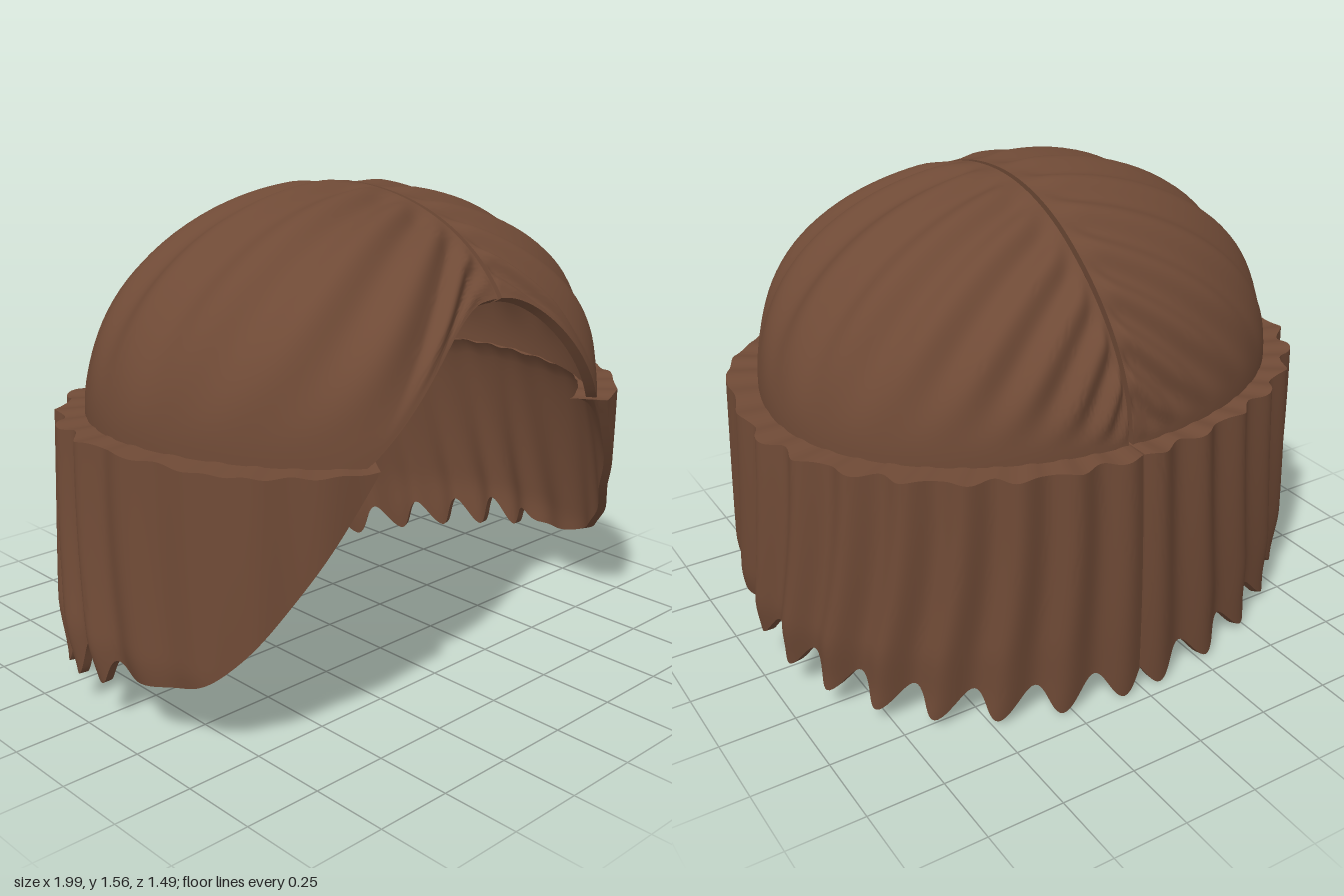
import * as THREE from 'three';
import { toCreasedNormals } from 'three/addons/utils/BufferGeometryUtils.js';

const { lerp, smoothstep } = THREE.MathUtils;
const RIM = 0.88;                       // height where the cap meets the hanging hair
const CZ = 0.03;                        // z of the cap centre
const A = 0.87, B = 0.67, C = 0.69;     // cap half-width, height, half-depth

// soft rounded lobe pattern for the locks
const lobe = (q) => -0.45 * Math.cos(2 * Math.PI * q);

// Closed shell: fn(u, v, inner) gives a point; each section runs out, round the edge and back.
function shell(nu, nv, flip, fn) {
  const pos = [], idx = [], ring = 2 * (nv + 1);
  for (let i = 0; i <= nu; i++) {
    for (let k = 0; k < ring; k++) {
      const inner = k > nv;
      const v = (inner ? ring - 1 - k : k) / nv;
      pos.push(...fn(i / nu, v, inner));
    }
  }
  for (let i = 0; i < nu; i++) {
    for (let k = 0; k < ring; k++) {
      const k2 = (k + 1) % ring;
      const a = i * ring + k, b = a + ring, c = (i + 1) * ring + k2, d = i * ring + k2;
      if (flip) idx.push(a, b, c, a, c, d);
      else idx.push(a, c, b, a, d, c);
    }
  }
  const g = new THREE.BufferGeometry();
  g.setAttribute('position', new THREE.Float32BufferAttribute(pos, 3));
  g.setIndex(idx);
  return toCreasedNormals(g, 0.75);
}

// depth of the cap front at a given x and height above the rim
const frontZ = (x, h) =>
  C * Math.pow(Math.max(0, 1 - Math.pow(Math.abs(x) / A, 2.4) - Math.pow(h / B, 2.4)), 1 / 2.4);

// push a direction onto the cap surface, then swell it at the temples
function onCap(d, scale) {
  const len = Math.hypot(d[0], d[1], d[2]);
  const p = 2 + 0.42 * Math.max(0, d[2] / len);
  const n = Math.pow(Math.abs(d[0]) / A, p) + Math.pow(Math.abs(d[1]) / B, p) + Math.pow(Math.abs(d[2]) / C, p);
  const k = scale / Math.pow(n, 1 / p);
  const x = d[0] * k, y = d[1] * k;
  let z = d[2] * k;
  if (z > 0) z *= 1 + 0.14 * (1 - 0.7 * Math.min(1, y / B)) * Math.sin(Math.PI * Math.min(1, Math.abs(x)));
  return [x, RIM + y, CZ + z];
}

// half of the cap: strands run from the parting to the hairline or rim
function capHalf(s) {
  const part = 0.08 + s * 0.008, backX = 0.05 + s * 0.007, hair = 0.16;
  const a0 = Math.atan2(0.38 / B, frontZ(part, 0.38) / C);
  const phi0 = Math.atan2(0.52 / A, -frontZ(0.52, 0) / C);
  return shell(180, 32, s < 0, (u, v, inner) => {
    const a = lerp(a0, Math.PI, Math.pow(u, 1.1));
    const P = [lerp(part, backX, smoothstep(u, 0.65, 1)), B * Math.sin(a), C * Math.cos(a)];
    let R;
    if (u < hair) {                     // arched front hairline
      const t = u / hair, x = lerp(part, s * 0.52, t);
      const h = 0.38 * Math.cos(t * Math.PI / 2);
      R = [x, h, frontZ(x, h)];
    } else {                            // level rim round the side and back
      const t = (u - hair) / (1 - hair), phi = phi0 * Math.pow(1 - t, 1.35);
      R = [s * A * Math.sin(phi) + backX * t ** 6, 0, -C * Math.cos(phi)];
    }
    // strands leave the parting squarely, then sweep along the head
    const d = [lerp(P[0], R[0], v), lerp(P[1], R[1], v), lerp(P[2], R[2], Math.pow(v, 1.4))];
    const env = smoothstep(v, 0, 0.12) * (1 - smoothstep(v, 0.5, 0.9)) * smoothstep(u, 0, 0.12) * (1 - smoothstep(u, 0.85, 1));
    const ridge = 0.045 * env * lobe(13 * u);
    return onCap(d, (1 + ridge) * (inner ? 0.96 : 1));
  });
}

// half of the hanging hair, from the back seam round to the temple
function skirtHalf(s) {
  const END = 2.705;
  return shell(240, 24, s > 0, (u, v, inner) => {
    const pb = lerp(0.004, END, u);
    const phase = (pb + 0.04) / 0.225;
    // lower edge: pointed locks at the back and sides, smooth sweep up to the temple
    const tip = 0.005 + 0.15 * Math.min(1, pb / 1.7) ** 2;
    const fade = 1 - smoothstep(pb, 1.65, 1.85);
    const point = 0.5 - 0.5 * Math.cos(2 * Math.PI * phase);
    const sweep = 0.2 + 0.68 * Math.pow(Math.max(0, (pb - 1.75) / (END - 1.75)), 2.5);
    const low = lerp(sweep, tip + 0.11 * (1 - point), fade);
    const y = lerp(RIM + 0.008 * lobe(phase * 1.5), low, v);
    const f = Math.min(1, y / RIM);
    // strands lean toward the back seam as they rise
    const phi = pb - 0.17 * Math.sin(Math.PI * pb / END) * Math.sin(f * Math.PI / 2);
    const e = 1 - 0.286 * smoothstep(phi, 1.55, 2.15);
    const ripple = lerp(0.012, 0.045, 1 - smoothstep(pb, 1.6, 2.1)) * lobe(phase);
    // the inner face meets the cap lining at the top and thins toward the tips
    const k = inner ? lerp(0.865, 0.97, Math.sqrt(v)) * (1 + ripple * v) : 1 + ripple;
    const c = Math.cos(phi);
    const curl = 1 - 0.04 * f - 0.035 * (1 - smoothstep(y, 0.08, 0.3));
    const flare = 1 + 0.045 * smoothstep(phi, 2.2, 2.7) * f;
    const x = s * 0.99 * curl * Math.pow(Math.sin(phi), e) * k;
    const z = -Math.sign(c) * 0.75 * flare * (1 - 0.05 * (1 - f) ** 2) * Math.pow(Math.abs(c), e) * k;
    return [x + 0.05 * f * Math.max(0, c) ** 4, y, 0.02 + z];
  });
}

export function createModel() {
  const group = new THREE.Group();
  group.name = 'wig';
  const brown = new THREE.MeshStandardMaterial({ color: 0x6f4a36, side: THREE.DoubleSide });
  brown.name = 'brown hair';
  for (const [s, side] of [[1, 'left'], [-1, 'right']]) {
    const cap = new THREE.Mesh(capHalf(s), brown);
    cap.name = side + 'Cap';
    const skirt = new THREE.Mesh(skirtHalf(s), brown);
    skirt.name = side + 'HangingHair';
    group.add(cap, skirt);
  }
  return group;
}
